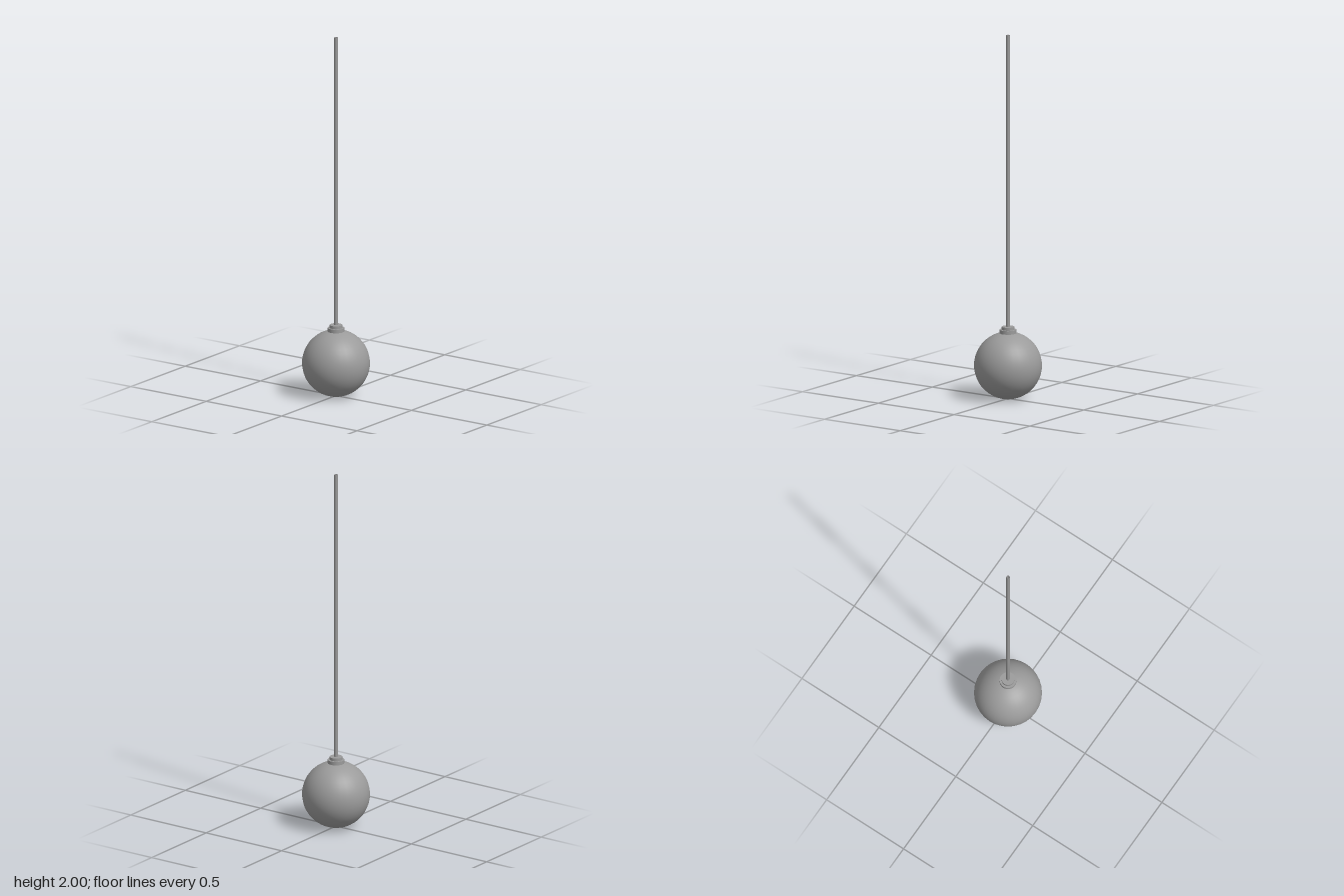
import * as THREE from 'three';

export function createModel() {
  const group = new THREE.Group();
  const material = new THREE.MeshStandardMaterial({ color: 0x9b9b9b });
  const tubeMaterial = new THREE.MeshStandardMaterial({ color: 0x9b9b9b, side: THREE.DoubleSide });

  const add = (name, geometry, y, mat = material) => {
    const mesh = new THREE.Mesh(geometry, mat);
    mesh.name = name;
    mesh.position.y = y;
    group.add(mesh);
  };
  // Upright cylinder between two heights
  const addCylinder = (name, radius, bottom, top, open = false) =>
    add(name, new THREE.CylinderGeometry(radius, radius, top - bottom, 32, 1, open),
      (bottom + top) / 2, open ? tubeMaterial : material);

  // Globe shade
  add('globe', new THREE.SphereGeometry(0.183, 32, 24), 0.183);

  // Stepped collar, sunk slightly into the globe
  addCylinder('lowerCollar', 0.045, 0.352, 0.38);
  addCylinder('upperCollar', 0.034, 0.38, 0.396);

  // Hollow suspension rod, open at its ends
  addCylinder('rod', 0.0095, 0.39, 2, true);

  return group;
}
